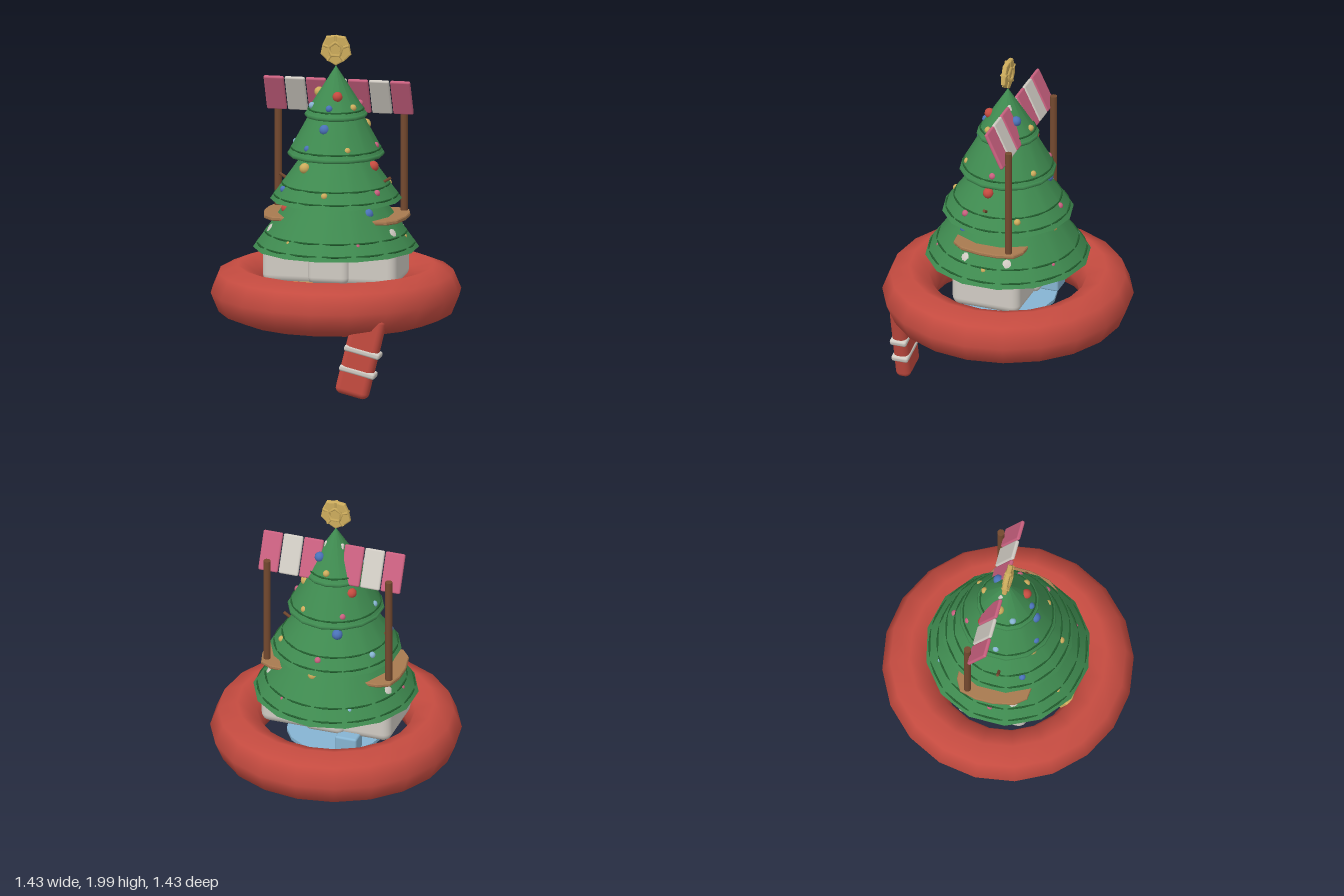
import * as THREE from 'three';
import { RoundedBoxGeometry } from 'three/addons/geometries/RoundedBoxGeometry.js';

const mat = (name, color) => {
  const m = new THREE.MeshStandardMaterial({ color });
  m.name = name;
  return m;
};

export function createModel() {
  const root = new THREE.Group();
  root.name = 'floatingTree';
  const M = {
    red: mat('red', 0xc54b40), green: mat('green', 0x3f8b50), darkGreen: mat('darkGreen', 0x22602f),
    white: mat('white', 0xd0cbc3), pink: mat('pink', 0xc9607f), gold: mat('gold', 0xcdac5c),
    blue: mat('blue', 0x4a72b8), sky: mat('lightBlue', 0x86b4d2),
    brown: mat('brown', 0x74492f), tan: mat('tan', 0xa87a50),
  };
  const add = (name, geo, m, x = 0, y = 0, z = 0, parent = root) => {
    const mesh = new THREE.Mesh(geo, m);
    mesh.name = name;
    mesh.position.set(x, y, z);
    parent.add(mesh);
    return mesh;
  };
  const box = (w, h, d, r) => new RoundedBoxGeometry(w, h, d, 3, r);
  const hoop = (R, r, radial, segs) =>
    new THREE.TorusGeometry(R, r, radial, segs).rotateX(Math.PI / 2).rotateY(Math.PI / 2);

  // Swim ring
  add('swimRing', hoop(0.56, 0.155, 8, 20), M.red, 0, 0.515, 0);

  // Seat body with armrests and a front and back bulge
  add('body', box(0.78, 0.24, 0.41, 0.05), M.white, 0, 0.7, 0);
  for (const s of [1, -1]) {
    add('armrest', box(0.2, 0.33, 0.37, 0.09), M.white, 0.285 * s, 0.765, 0);
    add('bodyBulge', box(0.24, 0.2, 0.1, 0.04), M.white, 0, 0.69, 0.18 * s);
  }
  add('noseButton', new THREE.SphereGeometry(0.016, 10, 8), M.brown, 0, 0.74, 0.23);

  // Floor disc with a small hub, and two gift boxes
  add('floorDisc', new THREE.CylinderGeometry(0.28, 0.28, 0.02, 16), M.sky, 0, 0.5, 0);
  add('floorHub', new THREE.CylinderGeometry(0.025, 0.025, 0.03, 10), M.brown, 0, 0.485, 0);
  add('floorRod', new THREE.BoxGeometry(0.36, 0.008, 0.012), M.brown, 0, 0.487, 0).rotation.y = 0.5;
  add('goldGift', box(0.13, 0.09, 0.11, 0.012), M.gold, -0.126, 0.58, 0.365);
  add('blueGift', box(0.13, 0.1, 0.11, 0.012), M.sky, -0.15, 0.56, -0.215);

  // Tree tiers: top radius, bottom radius, top y, bottom y
  const tiers = [
    [0, 0.178, 1.82, 1.54], [0.14, 0.275, 1.56, 1.315],
    [0.18, 0.375, 1.32, 1.05], [0.265, 0.472, 1.06, 0.77],
  ];
  tiers.forEach(([rt, rb, yt, yb], i) => {
    add('treeTier', new THREE.CylinderGeometry(rt, rb, yt - yb, 14), M.green, 0, (yt + yb) / 2, 0);
    if (i < 2) add('tierRim', hoop(rb - 0.012, 0.014, 6, 14), M.green, 0, yb - 0.002, 0);
    // Garland that only peeks out between the corners of the tier
    const slope = (rb - rt) / (yt - yb);
    for (const h of i < 2 ? [0.03] : [0.025, 0.09]) {
      add('garland', hoop((rb - slope * h) * 0.982, 0.006, 5, 40), M.darkGreen, 0, yb + h, 0);
    }
  });

  // Baubles placed in rings: radius, y, start angle, size, colours
  const { red, blue, gold, pink, sky } = M;
  const rings = [
    [0.105, 1.657, 17, 0.029, [red, blue, gold]],
    [0.17, 1.475, -10, 0.031, [blue, gold, red]],
    [0.228, 1.25, 81, 0.031, [red, blue, gold]],
    [0.285, 1.0, 52, 0.031, [blue, gold, red]],
    [0.14, 1.593, -4, 0.02, [blue, gold, pink, gold, pink, sky]],
    [0.232, 1.367, 28, 0.02, [gold, pink, gold, pink, sky, blue]],
    [0.313, 1.12, 0, 0.02, [gold, pink, gold, pink, sky, blue]],
    [0.395, 0.845, 30, 0.018, [pink, gold, pink, sky, pink, gold]],
  ];
  for (const [r, y, start, size, colours] of rings) {
    const geo = new THREE.SphereGeometry(size, 12, 8);
    colours.forEach((c, k) => {
      const a = THREE.MathUtils.degToRad(start + (k * 360) / colours.length);
      add('bauble', geo, c, r * Math.sin(a), y, r * Math.cos(a));
    });
  }

  // Tree topper: thin ten-sided medallion with a raised pentagon and ribs
  const topper = new THREE.Group();
  topper.name = 'treeTopper';
  topper.position.set(0, 1.912, 0);
  root.add(topper);
  const outline = [];
  for (let i = 0; i < 10; i++) {
    const a = Math.PI / 2 + (i * Math.PI) / 5, r = i % 2 ? 0.084 : 0.074;
    outline.push(new THREE.Vector2(r * Math.cos(a), r * Math.sin(a)));
  }
  add('medallion', new THREE.ExtrudeGeometry(new THREE.Shape(outline), {
    depth: 0.012, bevelEnabled: true, bevelThickness: 0.008, bevelSize: 0.008, bevelSegments: 2,
  }), M.gold, 0, 0, -0.006, topper);
  for (const s of [1, -1]) {
    add('pentagon', new THREE.TorusGeometry(0.042, 0.01, 6, 5).rotateZ(Math.PI / 2), M.gold, 0, 0, 0.015 * s, topper);
    for (let i = 0; i < 5; i++) {
      const a = Math.PI / 2 + (i * Math.PI * 2) / 5;
      const rib = add('rib', new THREE.CylinderGeometry(0.008, 0.008, 0.04, 6), M.gold,
        0.06 * Math.cos(a), 0.06 * Math.sin(a), 0.012 * s, topper);
      rib.rotation.z = a - Math.PI / 2;
    }
  }

  // Striped awning behind the tree
  for (let i = -3; i <= 3; i++) {
    add('awningPanel', box(0.117, 0.23, 0.022, 0.01), i % 2 ? M.pink : M.white, i * 0.1225, 1.633, -0.07)
      .rotation.x = 0.445;
  }

  // Side shelves, awning poles and twigs
  for (const s of [1, -1]) {
    const pts = [[0.18, -0.215], [0.32, -0.21], [0.385, -0.175], [0.41, -0.08], [0.41, 0.02],
      [0.385, 0.14], [0.335, 0.2], [0.18, 0.215]];
    const shape = new THREE.Shape(pts.map(([x, z]) => new THREE.Vector2(x * s, z)));
    const geo = new THREE.ExtrudeGeometry(shape, {
      depth: 0.012, bevelEnabled: true, bevelThickness: 0.006, bevelSize: 0.004, bevelSegments: 1,
    }).rotateX(Math.PI / 2);
    add('sideShelf', geo, M.tan, 0, 0.962, 0);
    add('awningPole', new THREE.CylinderGeometry(0.021, 0.021, 0.67, 10), M.brown, 0.366 * s, 1.275, -0.14);
    add('twig', new THREE.CylinderGeometry(0.009, 0.009, 0.09, 6), M.brown, 0.285 * s, 1.162, 0.025)
      .rotation.z = -1.0 * s;
  }

  // Tilted paddle with two white bands
  const paddle = new THREE.Group();
  paddle.name = 'paddle';
  paddle.position.set(0.262, 0.258, 0.53);
  paddle.rotation.z = -0.24;
  root.add(paddle);
  add('paddleBlade', box(0.195, 0.49, 0.09, 0.035), M.red, 0, 0, 0, paddle);
  for (const y of [0.025, -0.095]) {
    add('paddleBand', box(0.212, 0.036, 0.1, 0.014), M.white, 0.006, y, 0, paddle);
  }
  return root;
}
